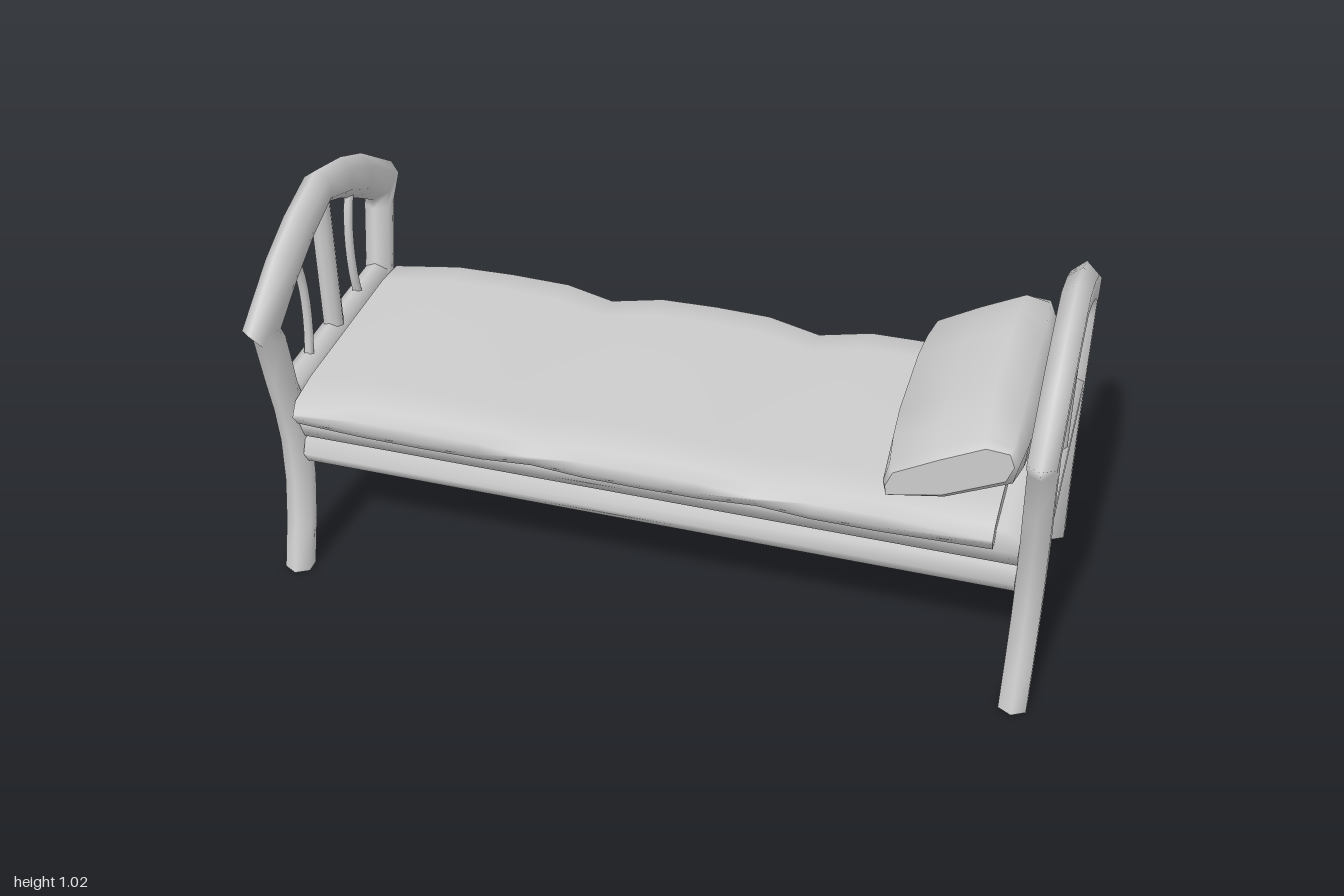
import * as THREE from 'three';

const grey = new THREE.MeshStandardMaterial({ color: 0xcccccc });
grey.name = 'plain grey';

// Skin through equal-length rings of [x, y, z] points, with separate flat end caps
function loft(name, rings) {
  const n = rings[0].length, pos = rings.flat(2), idx = [];
  for (let i = 0; i < rings.length - 1; i++) {
    for (let j = 0; j < n; j++) {
      const a = i * n + j, b = i * n + (j + 1) % n;
      idx.push(a, b, b + n, a, b + n, a + n);
    }
  }
  const cap = (ring, flip) => {
    const s = pos.length / 3;
    pos.push(...ring.flat());
    for (let j = 1; j < n - 1; j++) idx.push(s, flip ? s + j + 1 : s + j, flip ? s + j : s + j + 1);
  };
  cap(rings[0], true);
  cap(rings[rings.length - 1], false);

  // Turn the faces outward when the enclosed volume is negative
  const v = i => new THREE.Vector3().fromArray(pos, i * 3);
  let volume = 0;
  for (let i = 0; i < idx.length; i += 3) volume += v(idx[i]).dot(v(idx[i + 1]).cross(v(idx[i + 2])));
  if (volume < 0) idx.reverse();

  const geo = new THREE.BufferGeometry();
  geo.setAttribute('position', new THREE.Float32BufferAttribute(pos, 3));
  geo.setIndex(idx);
  geo.computeVertexNormals();
  const mesh = new THREE.Mesh(geo, grey);
  mesh.name = name;
  return mesh;
}

// Six-sided section between an outer and an inner point in the z-y plane
function hexRing([z0, y0, z1, y1], half) {
  const at = (x, t) => [x, y0 + (y1 - y0) * t, z0 + (z1 - z0) * t];
  return [at(0, 0), at(half, 0.25), at(half, 0.75), at(0, 1), at(-half, 0.75), at(-half, 0.25)];
}

// Arched end: legs and arch in one sweep, crossbar, three spindles
function endFrame(name) {
  const g = new THREE.Group();
  g.name = name;
  // outer z, outer y, inner z, inner y, from the foot up to the apex
  const half = [
    [0.39, 0, 0.313, 0], [0.35, 0.13, 0.274, 0.13], [0.326, 0.25, 0.25, 0.25],
    [0.323, 0.375, 0.242, 0.375], [0.337, 0.48, 0.253, 0.495], [0.358, 0.59, 0.283, 0.575],
    [0.39, 0.735, 0.308, 0.735], [0.45, 0.807, 0.313, 0.76], [0.266, 0.932, 0.217, 0.82],
    [0.144, 0.986, 0.11, 0.88], [0, 1.025, 0, 0.924],
  ];
  const mirrored = half.slice(0, -1).reverse().map(([a, b, c, d]) => [-a, b, -c, d]);
  g.add(loft('legsAndArch', [...half, ...mirrored].map(p => hexRing(p, 0.035))));
  g.add(loft('crossbar', [-0.3, 0, 0.3].map(z => hexRing([z, 0.573, z, 0.498], 0.032))));

  const centre = new THREE.Mesh(new THREE.CylinderGeometry(0.028, 0.028, 0.39, 8), grey);
  centre.name = 'centreSpindle';
  centre.position.y = 0.75;
  g.add(centre);
  for (const s of [-1, 1]) {
    const path = new THREE.CatmullRomCurve3(
      [[0.16, 0.55], [0.145, 0.63], [0.141, 0.72], [0.15, 0.8], [0.175, 0.88]]
        .map(([z, y]) => new THREE.Vector3(0, y, s * z)));
    const spindle = new THREE.Mesh(new THREE.TubeGeometry(path, 8, 0.014, 6), grey);
    spindle.name = 'curvedSpindle';
    g.add(spindle);
  }
  return g;
}

// Long slab with ridged sides
function slab(name, y0, y1, endDrop) {
  const mid = (y0 + y1) / 2;
  return loft(name, [-0.93, -0.89, 0.89, 0.93].map(x => {
    const top = Math.abs(x) > 0.9 ? y1 - endDrop : y1;
    return [[x, y0, 0.3], [x, mid, 0.32], [x, top, 0.3], [x, top, -0.3], [x, mid, -0.32], [x, y0, -0.3]];
  }));
}

function mattress() {
  // x, top height, half width: the dips give the edge its waves
  const stations = [
    [-0.925, 0.553, 0.36], [-0.74, 0.575, 0.37], [-0.58, 0.577, 0.372], [-0.42, 0.574, 0.37],
    [-0.29, 0.552, 0.358], [-0.15, 0.575, 0.37], [0, 0.577, 0.372], [0.15, 0.574, 0.37],
    [0.29, 0.55, 0.358], [0.43, 0.574, 0.37], [0.6, 0.575, 0.37], [0.87, 0.553, 0.36],
  ];
  return loft('mattress', stations.map(([x, t, w]) => {
    const side = [[0.472, w - 0.022], [0.505, w], [t - 0.04, w - 0.003], [t - 0.012, w - 0.025], [t, w - 0.12]];
    return [...side.map(([y, z]) => [x, y, z]), ...side.reverse().map(([y, z]) => [x, y, -z])];
  }));
}

// Tilted pillow: side outline carried along z, thinner towards both ends
function pillow() {
  const outline = [
    [0.59, 0.676], [0.7, 0.741], [0.815, 0.798], [0.89, 0.767], [0.92, 0.7],
    [0.917, 0.628], [0.757, 0.557], [0.6, 0.56], [0.586, 0.607],
  ];
  const [cx, cy, c, s] = [0.755, 0.675, 0.875, 0.485];
  const stations = [
    [-0.335, 0.94, 0.5], [-0.315, 0.98, 0.68], [-0.22, 1, 0.88], [-0.12, 1, 1],
    [0.12, 1, 1], [0.22, 1, 0.88], [0.315, 0.98, 0.68], [0.335, 0.94, 0.5],
  ];
  return loft('pillow', stations.map(([z, along, thick]) => outline.map(([x, y]) => {
    const u = ((x - cx) * c + (y - cy) * s) * along;
    const v = ((y - cy) * c - (x - cx) * s) * thick;
    return [cx + u * c - v * s, cy + u * s + v * c, z];
  })));
}

export function createModel() {
  const bed = new THREE.Group();
  bed.name = 'bed';
  for (const [name, x] of [['headFrame', 0.965], ['footFrame', -0.965]]) {
    const frame = endFrame(name);
    frame.position.x = x;
    bed.add(frame);
  }
  bed.add(slab('lowerBase', 0.323, 0.395, 0), slab('upperBase', 0.404, 0.505, 0.025), mattress(), pillow());
  return bed;
}
